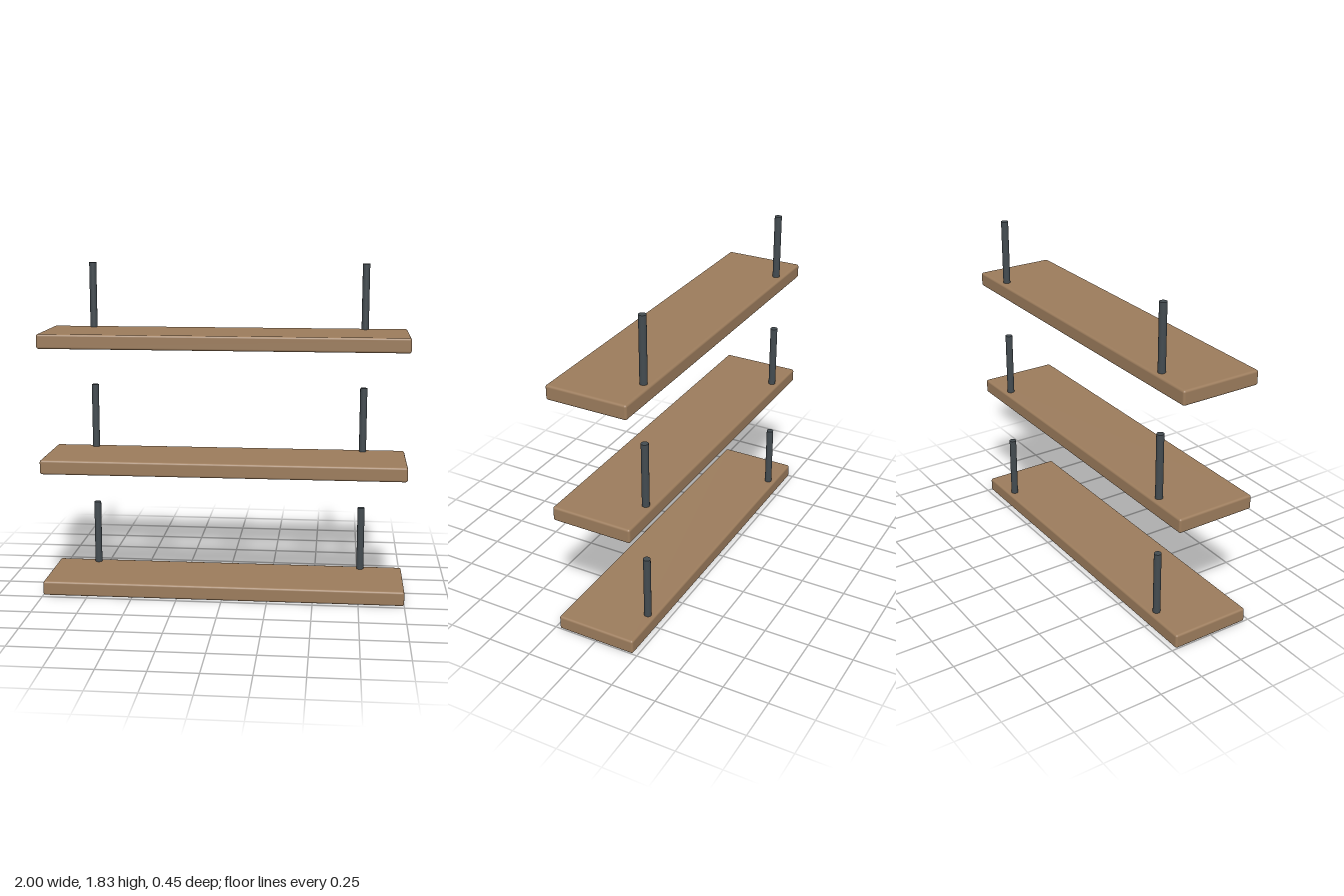
import * as THREE from 'three';
import { RoundedBoxGeometry } from 'three/addons/geometries/RoundedBoxGeometry.js';

export function createModel() {
  const model = new THREE.Group();
  model.name = 'hangingShelves';

  const wood = new THREE.MeshStandardMaterial({ name: 'wood', color: 0x9c7c5c });
  const metal = new THREE.MeshStandardMaterial({ name: 'dark metal', color: 0x434b50 });

  const thickness = 0.08, spacing = 0.692, rodLength = 0.362, sink = 0.03;
  const boardGeometry = new RoundedBoxGeometry(2, thickness, 0.45, 3, 0.012);
  const rodGeometry = new THREE.CylinderGeometry(0.02, 0.02, rodLength + sink, 20);

  // Three identical tiers, each a board with two upright rods near its back edge
  for (let i = 0; i < 3; i++) {
    const tier = new THREE.Group();
    tier.name = `shelfTier${i + 1}`;
    tier.position.y = i * spacing;

    const board = new THREE.Mesh(boardGeometry, wood);
    board.name = 'shelfBoard';
    board.position.y = thickness / 2;
    tier.add(board);

    // Rods sit slightly sunk into the board
    for (const side of [-1, 1]) {
      const rod = new THREE.Mesh(rodGeometry, metal);
      rod.name = side > 0 ? 'leftRod' : 'rightRod';
      rod.position.set(side * 0.764, thickness + (rodLength - sink) / 2, -0.183);
      tier.add(rod);
    }
    model.add(tier);
  }
  return model;
}
